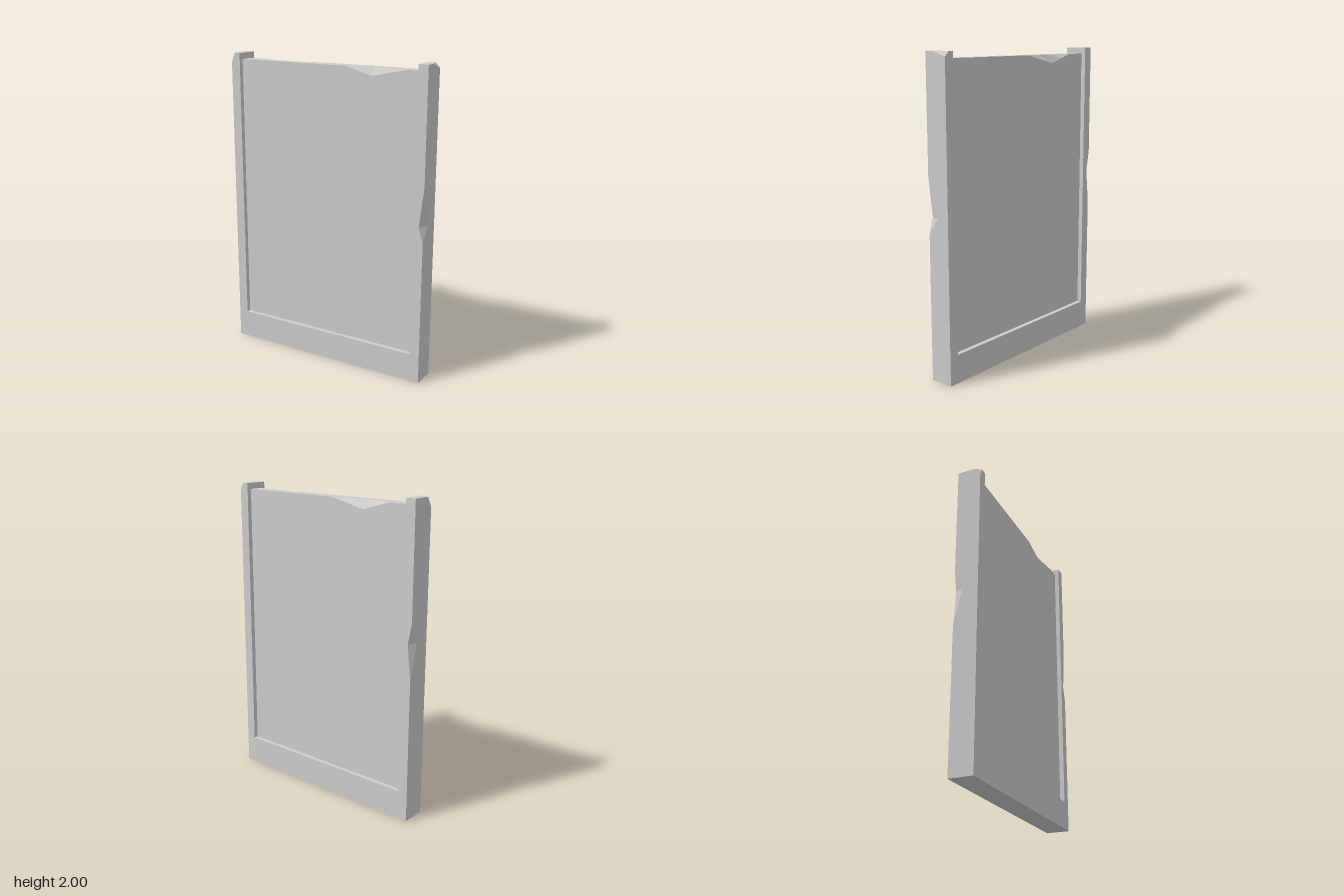
import * as THREE from 'three';

const material = new THREE.MeshStandardMaterial({ color: 0xcccccc, flatShading: true });

// Chip size [du, dz] at position t, from a list of [t, du, dz]; zero outside it
function chipAt(chip, t) {
  for (let i = 0; i < chip.length - 1; i++) {
    const [t0, u0, z0] = chip[i], [t1, u1, z1] = chip[i + 1];
    if (t >= t0 && t <= t1) {
      const k = (t - t0) / (t1 - t0);
      return [u0 + (u1 - u0) * k, z0 + (z1 - z0) * k];
    }
  }
  return [0, 0];
}

// Rectangular bar along y whose two outer (+x) edges are chipped
function chippedBar(name, x0, x1, d, t0, t1, frontChip, backChip) {
  const stations = [...new Set([t0, t1, ...frontChip.map(c => c[0]), ...backChip.map(c => c[0])])]
    .sort((a, b) => a - b);
  const rings = stations.map(t => {
    const [fu, fz] = chipAt(frontChip, t), [bu, bz] = chipAt(backChip, t);
    return [[x1 - fu, d], [x1, d - fz], [x1, bz - d], [x1 - bu, -d], [x0, -d], [x0, d]]
      .map(([x, z]) => new THREE.Vector3(x, t, z));
  });
  const pos = [];
  const tri = (a, b, c) => {
    if (new THREE.Triangle(a, b, c).getArea() < 1e-8) return;
    for (const p of [a, b, c]) pos.push(p.x, p.y, p.z);
  };
  // Sides
  for (let s = 0; s < rings.length - 1; s++) {
    const lo = rings[s], hi = rings[s + 1];
    for (let i = 0; i < 6; i++) {
      const j = (i + 1) % 6;
      tri(lo[i], lo[j], hi[j]);
      tri(lo[i], hi[j], hi[i]);
    }
  }
  // End caps
  const bottom = rings[0], top = rings[rings.length - 1];
  for (let i = 1; i < 5; i++) {
    tri(top[0], top[i], top[i + 1]);
    tri(bottom[0], bottom[i + 1], bottom[i]);
  }
  const geometry = new THREE.BufferGeometry();
  geometry.setAttribute('position', new THREE.Float32BufferAttribute(pos, 3));
  geometry.computeVertexNormals();
  const mesh = new THREE.Mesh(geometry, material);
  mesh.name = name;
  return mesh;
}

export function createModel() {
  const group = new THREE.Group();
  group.name = 'chippedStoneSlab';
  const outer = 0.7075, inner = 0.6425, depth = 0.0775, railTop = 0.185;

  // Side posts, each with a chipped edge and a broken top corner
  const leftPost = chippedBar('leftPost', inner, outer, depth, 0, 2,
    [[0.93, 0, 0], [1.03, 0.03, 0.07], [1.28, 0, 0]],
    [[1.97, 0, 0], [2, 0.03, 0.095]]);
  const rightPost = chippedBar('rightPost', inner, outer, depth, 0, 2,
    [[0.92, 0, 0], [1.15, 0.025, 0.055], [1.28, 0, 0]],
    [[1.94, 0, 0], [2, 0.025, 0.035]]);
  rightPost.rotation.y = Math.PI;

  // Recessed panel, lofted sideways, chipped along its top edges
  const panel = chippedBar('panel', railTop, 1.96, 0.0475, -inner, inner,
    [[-0.56, 0, 0], [-0.32, 0.05, 0.03], [-0.14, 0, 0]],
    [[0.07, 0, 0], [0.22, 0.034, 0.038], [0.31, 0.055, 0.034], [0.41, 0.026, 0.03], [0.5, 0, 0]]);
  panel.rotation.z = Math.PI / 2;

  // Bottom rail between the posts
  const rail = new THREE.Mesh(new THREE.BoxGeometry(inner * 2, railTop, depth * 2), material);
  rail.name = 'bottomRail';
  rail.position.y = railTop / 2;

  group.add(leftPost, rightPost, panel, rail);
  return group;
}
